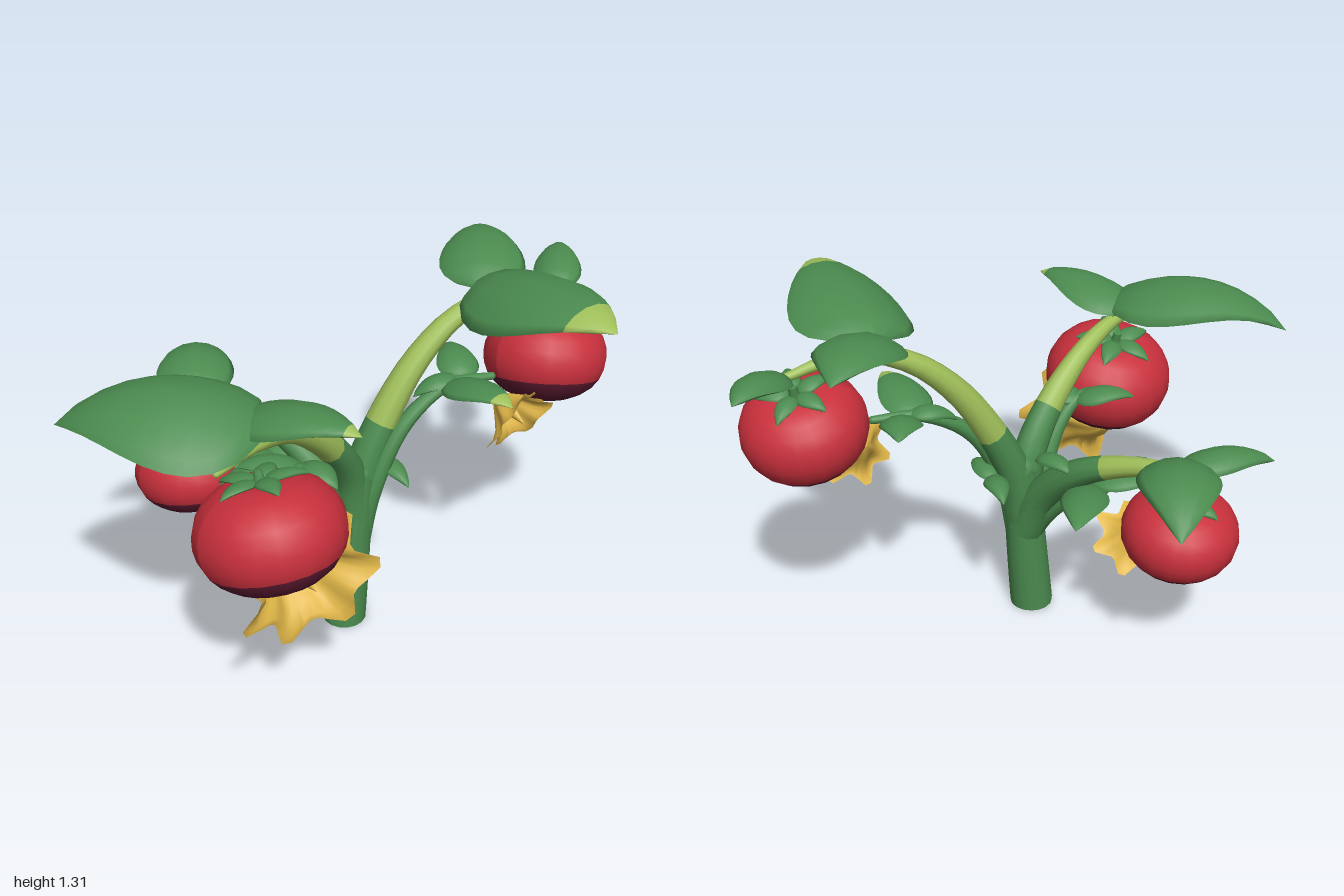
import * as THREE from 'three';

const mat = (name, color, side = THREE.FrontSide) => {
  const m = new THREE.MeshStandardMaterial({ color, side });
  m.name = name;
  return m;
};
const V = (p) => new THREE.Vector3(...p);
const UP = new THREE.Vector3(0, 1, 0);

export function createModel() {
  const root = new THREE.Group();
  const green = mat('leaf green', 0x4b8b4f);
  const lime = mat('young green', 0xa0c05a);
  const red = mat('ripe red', 0xc8303c);
  const maroon = mat('dark maroon', 0x5c1a30);
  const yellow = mat('petal yellow', 0xe0b648, THREE.DoubleSide);

  const add = (parent, name, geo, material) => {
    const mesh = new THREE.Mesh(geo, material);
    mesh.name = name;
    parent.add(mesh);
    return mesh;
  };

  // Tapered tube through points; turns lime after the fraction "split"
  function stem(name, points, r0, r1, split = 1, radial = 10) {
    const n = 20;
    const curve = new THREE.CatmullRomCurve3(points.map(V));
    const geo = new THREE.TubeGeometry(curve, n, 1, radial, false);
    const pos = geo.attributes.position;
    const v = new THREE.Vector3();
    for (let i = 0; i < pos.count; i++) {
      const t = Math.floor(i / (radial + 1)) / n;
      const c = curve.getPointAt(t);
      v.fromBufferAttribute(pos, i).sub(c).multiplyScalar(r0 + (r1 - r0) * Math.pow(t, 1.25)).add(c);
      pos.setXYZ(i, v.x, v.y, v.z);
    }
    const cut = Math.round(split * n) * radial * 6;
    geo.addGroup(0, cut, 0);
    geo.addGroup(cut, n * radial * 6 - cut, 1);
    add(root, name, geo, [green, lime]);
    const cap = add(root, name + 'Tip', new THREE.SphereGeometry(r1, 8, 6), split < 1 ? lime : green);
    cap.position.copy(V(points[points.length - 1]));
  }

  // Puffy pointed leaf from base to tip, arched along and drooping at the edges
  function leaf(name, base, tip, width, o = {}) {
    const { arch = 0.04, droop = 0.3, roll = 0, thick = 0.022, limeRows = 0, parent = root } = o;
    const W = 12, H = 10;
    const b = V(base), d = V(tip).sub(b), len = d.length();
    d.normalize();
    const s = new THREE.Vector3().crossVectors(d, UP).normalize().applyAxisAngle(d, roll);
    const n = new THREE.Vector3().crossVectors(s, d);
    const geo = new THREE.SphereGeometry(1, W, H);
    const pos = geo.attributes.position, uv = geo.attributes.uv;
    for (let i = 0; i < pos.count; i++) {
      const t = Math.min(1, Math.max(0, uv.getY(i)));
      const a = (i % (W + 1)) / W * Math.PI * 2;
      const prof = Math.pow(Math.max(0, Math.sin(Math.PI * Math.pow(t, 0.68))), 0.85);
      const x = -Math.cos(a) * prof * width / 2;
      const y = Math.sin(a) * thick * Math.pow(prof, 0.4) + arch * 4 * t * (1 - t)
        - droop * x * x / (width / 2);
      const p = b.clone().addScaledVector(d, len * t).addScaledVector(s, x).addScaledVector(n, y);
      pos.setXYZ(i, p.x, p.y, p.z);
    }
    geo.computeVertexNormals();
    const cut = limeRows ? W * 3 + (limeRows - 1) * W * 6 : 0;
    geo.addGroup(0, cut, 1);
    geo.addGroup(cut, geo.index.count - cut, 0);
    add(parent, name, geo, [green, lime]);
  }

  // Squashed fruit with dark underside, star of sepals and short stalk
  function fruit(name, center, r, h, axis) {
    const g = new THREE.Group();
    g.name = name;
    const W = 20, H = 14, darkFrom = 9;
    const geo = new THREE.SphereGeometry(1, W, H);
    const pos = geo.attributes.position;
    for (let i = 0; i < pos.count; i++) {
      const x = pos.getX(i), y = pos.getY(i), z = pos.getZ(i);
      const q = Math.hypot(x, z);
      const dimple = y > 0 ? 0.14 * Math.exp(-q * q * 14) : 0;
      const full = 1 + 0.1 * q * q * (1 - q * q);
      pos.setXYZ(i, x * r * full, (y - dimple) * h * full, z * r * full);
    }
    geo.computeVertexNormals();
    const cut = W * 3 + (darkFrom - 1) * W * 6;
    geo.addGroup(0, cut, 0);
    geo.addGroup(cut, geo.index.count - cut, 1);
    add(g, 'flesh', geo, [red, maroon]);
    for (let i = 0; i < 5; i++) {
      const a = i / 5 * Math.PI * 2 + 0.4;
      const c = Math.cos(a), s = Math.sin(a);
      leaf('sepal', [c * 0.01, h * 0.91, s * 0.01], [c * r * 0.64, h * 0.87, s * r * 0.64], r * 0.32,
        { arch: 0.016, thick: 0.012, droop: 0.15, parent: g });
    }
    const stalk = add(g, 'stalk', new THREE.CylinderGeometry(0.014, 0.022, 0.06, 8), green);
    stalk.position.y = h * 0.95;
    g.position.copy(V(center));
    g.quaternion.setFromUnitVectors(UP, V(axis).normalize());
    root.add(g);
  }

  // Trumpet shaped blossom with seven pointed lobes and a central cone
  function blossom(name, base, dir, R, depth, spin) {
    const g = new THREE.Group();
    g.name = name;
    const profile = [[0.04, 0], [0.2, 0.15], [0.38, 0.48], [0.56, 0.78], [0.78, 0.97], [1, 1]]
      .map(([x, y]) => new THREE.Vector2(x * R, y * depth));
    const geo = new THREE.LatheGeometry(profile, 42);
    const pos = geo.attributes.position;
    for (let i = 0; i < pos.count; i++) {
      const x = pos.getX(i), z = pos.getZ(i);
      const q = Math.hypot(x, z) / R, a = Math.atan2(z, x);
      const valley = Math.pow(Math.abs(Math.sin(a * 3.5)), 1.2);
      const k = 1 - q * 0.36 * valley;
      const curl = q * q * depth * 0.15 * Math.sin(a * 2 + 1);
      pos.setXYZ(i, x * k, pos.getY(i) + curl, z * k);
    }
    geo.computeVertexNormals();
    add(g, 'petals', geo, yellow).rotation.y = spin;
    const cone = add(g, 'stamen', new THREE.ConeGeometry(R * 0.2, depth, 8), yellow);
    cone.position.y = depth * 0.75;
    g.position.copy(V(base));
    g.quaternion.setFromUnitVectors(UP, V(dir).normalize());
    root.add(g);
  }

  // Trunk and its flat foot
  stem('trunk', [[-0.065, 0.008, 0.12], [-0.05, 0.2, 0.12], [-0.035, 0.4, 0.12], [-0.015, 0.6, 0.115]], 0.08, 0.066, 1, 16);
  const foot = add(root, 'trunkFoot', new THREE.CylinderGeometry(0.079, 0.079, 0.02, 16), green);
  foot.position.set(-0.065, 0.012, 0.12);

  // Main branches
  stem('rightBranch', [[-0.03, 0.4, 0.12], [-0.055, 0.62, 0.13], [-0.15, 0.78, 0.18], [-0.34, 0.95, 0.27], [-0.52, 1.01, 0.36], [-0.68, 0.995, 0.42]], 0.07, 0.012, 0.4);
  stem('leftBranch', [[-0.03, 0.4, 0.12], [0, 0.57, 0.11], [0.09, 0.77, 0.105], [0.225, 0.97, 0.105], [0.38, 1.1, 0.11], [0.57, 1.155, 0.12], [0.84, 1.1, 0.12]], 0.07, 0.012, 0.3);
  stem('backBranch', [[-0.035, 0.36, 0.1], [-0.075, 0.53, 0.03], [-0.16, 0.68, -0.12], [-0.29, 0.755, -0.28], [-0.4, 0.77, -0.41], [-0.46, 0.75, -0.5]], 0.07, 0.014, 0.55);

  // Thin side stems
  stem('leftSideStem', [[-0.02, 0.3, 0.13], [0.03, 0.55, 0.15], [0.16, 0.77, 0.15], [0.34, 0.87, 0.15], [0.5, 0.87, 0.18]], 0.045, 0.014);
  stem('rightSideStem', [[-0.05, 0.3, 0.13], [-0.12, 0.5, 0.16], [-0.2, 0.68, 0.2], [-0.3, 0.78, 0.23], [-0.4, 0.77, 0.27]], 0.045, 0.015);
  stem('backSideStem', [[-0.05, 0.32, 0.11], [-0.1, 0.46, 0.02], [-0.17, 0.56, -0.07], [-0.24, 0.6, -0.14]], 0.045, 0.015);
  stem('shortTwig', [[-0.02, 0.5, 0.12], [0.05, 0.585, 0.1], [0.11, 0.6, 0.08]], 0.025, 0.013);

  // Leaves of the right branch
  leaf('rightLargeLeaf', [-0.48, 1.07, 0.4], [-1.0, 1.03, -0.03], 0.47, { arch: 0.11, droop: 0.4, roll: -0.1, thick: 0.026 });
  leaf('rightSmallLeaf', [-0.53, 1.06, 0.26], [-0.32, 1.12, 0.64], 0.25, { arch: 0.045, limeRows: 1 });

  // Leaves of the left branch
  leaf('leftLargeLeaf', [0.49, 1.2, 0.08], [0.53, 1.262, 0.73], 0.42, { arch: 0.045, droop: 0.4, roll: 0.14, limeRows: 2, thick: 0.03 });
  leaf('leftMiddleLeaf', [0.48, 1.18, 0.13], [0.73, 1.23, -0.24], 0.3, { arch: 0.06, thick: 0.025 });
  leaf('leftEndLeaf', [0.8, 1.11, 0.13], [1.0, 1.155, -0.1], 0.17, { arch: 0.035 });

  // Leaves of the back branch
  leaf('backLargeLeaf', [-0.4, 0.78, -0.34], [-0.2, 0.745, -0.74], 0.28, { arch: 0.085, thick: 0.026 });
  leaf('backSmallLeaf', [-0.38, 0.77, -0.38], [-0.73, 0.76, -0.43], 0.17, { arch: 0.045 });

  // Small leaves on the side stems: base, tip, width, lime rows
  [
    [[0.34, 0.87, 0.14], [0.38, 0.91, 0.45], 0.18, 2],
    [[0.38, 0.88, 0.15], [0.21, 0.84, 0.12], 0.1, 0],
    [[0.4, 0.87, 0.15], [0.48, 0.9, -0.06], 0.15, 0],
    [[-0.18, 0.6, -0.09], [-0.5, 0.59, -0.01], 0.17, 0],
    [[-0.2, 0.6, -0.09], [-0.015, 0.62, -0.375], 0.17, 0],
    [[-0.2, 0.61, -0.1], [-0.46, 0.61, -0.2], 0.14, 0],
    [[-0.12, 0.5, 0.0], [-0.27, 0.49, 0.07], 0.1, 0],
    [[0.1, 0.6, 0.09], [0.13, 0.6, -0.1], 0.09, 0],
    [[0.1, 0.6, 0.07], [0.11, 0.58, 0.26], 0.09, 0],
    [[-0.06, 0.67, 0.05], [-0.12, 0.67, -0.13], 0.09, 0],
    [[-0.28, 0.77, 0.23], [-0.48, 0.79, 0.13], 0.14, 0],
    [[-0.28, 0.77, 0.2], [-0.24, 0.76, 0.37], 0.12, 0],
  ].forEach(([b, t, w, limeRows]) => leaf('smallLeaf', b, t, w, { arch: 0.03, limeRows, thick: 0.015 }));

  // Fruits
  fruit('rightFruit', [-0.52, 0.74, 0.435], 0.242, 0.183, [-0.03, 1, -0.3]);
  fruit('leftFruit', [0.733, 0.893, 0.18], 0.218, 0.165, [0.2, 1, -0.26]);
  fruit('backFruit', [-0.425, 0.505, -0.35], 0.206, 0.148, [0.02, 1, -0.2]);

  // Blossoms
  blossom('rightBlossom', [-0.45, 0.58, 0.31], [0.02, -0.01, 0.95], 0.27, 0.22, 0);
  blossom('leftBlossom', [0.53, 0.78, 0.18], [0.15, -0.35, 0.8], 0.165, 0.12, 0.3);
  blossom('backBlossom', [-0.33, 0.49, -0.25], [0.05, -0.75, 0.45], 0.165, 0.1, 0.2);

  return root;
}
